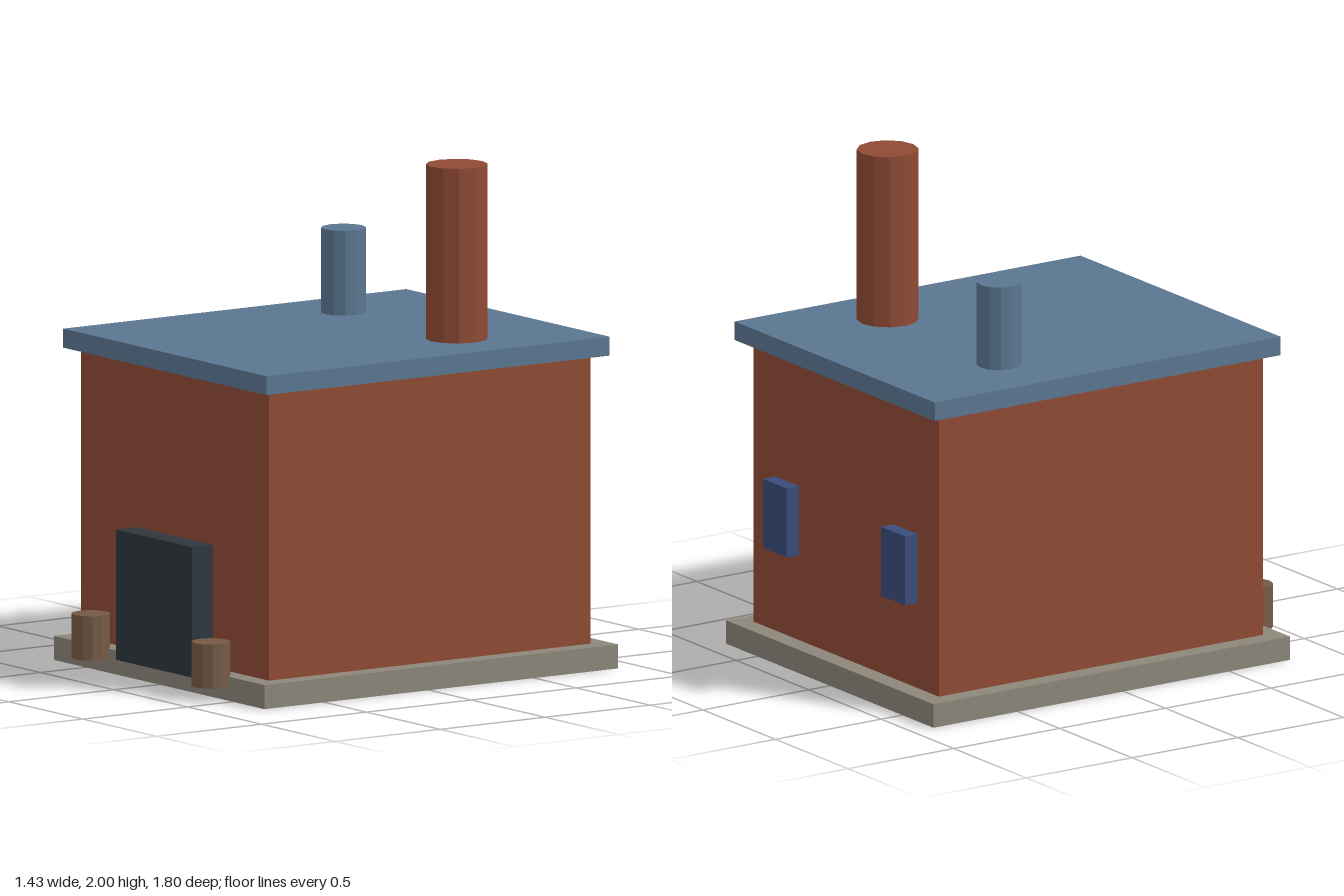
import * as THREE from 'three';

const mat = (name, color) => {
  const m = new THREE.MeshStandardMaterial({ color });
  m.name = name;
  m.flatShading = true;
  return m;
};

export function createModel() {
  const brick = mat('brick red', 0x8f4a34);
  const slate = mat('slate blue', 0x5a7690);
  const stone = mat('stone grey', 0x8c867a);
  const iron = mat('dark iron', 0x2e363c);
  const glass = mat('window blue', 0x3a4c7c);
  const wood = mat('barrel brown', 0x765a45);

  const model = new THREE.Group();
  model.name = 'workshop';

  const add = (name, geometry, material, x, y, z) => {
    const mesh = new THREE.Mesh(geometry, material);
    mesh.name = name;
    mesh.position.set(x, y, z);
    model.add(mesh);
  };
  // Box centred on x, given by its y and z limits
  const box = (name, material, x, width, y0, y1, z0, z1) =>
    add(name, new THREE.BoxGeometry(width, y1 - y0, z1 - z0), material,
      x, (y0 + y1) / 2, (z0 + z1) / 2);
  // Upright twelve-sided cylinder, given by its y limits
  const post = (name, material, x, z, radius, y0, y1) =>
    add(name, new THREE.CylinderGeometry(radius, radius, y1 - y0, 12), material,
      x, (y0 + y1) / 2, z);

  // Building
  box('foundation', stone, 0, 1.43, 0, 0.095, -0.9, 0.785);
  box('walls', brick, 0, 1.276, 0.095, 1.235, -0.822, 0.71);
  box('roof', slate, 0, 1.38, 1.235, 1.31, -0.877, 0.758);

  // Front door slab
  box('door', iron, 0, 0.515, 0.065, 0.58, 0.66, 0.81);

  // Chimney and vent pipe
  post('chimney', brick, 0.383, -0.364, 0.121, 1.3, 2);
  post('ventPipe', slate, -0.385, -0.364, 0.088, 1.3, 1.645);

  // Mirrored barrels at the front and windows at the back
  for (const [side, s] of [['left', 1], ['right', -1]]) {
    post(side + 'Barrel', wood, s * 0.408, 0.824, 0.076, 0.055, 0.23);
    box(side + 'BackWindow', glass, s * 0.407, 0.165, 0.44, 0.72, -0.881, -0.8);
  }
  return model;
}
